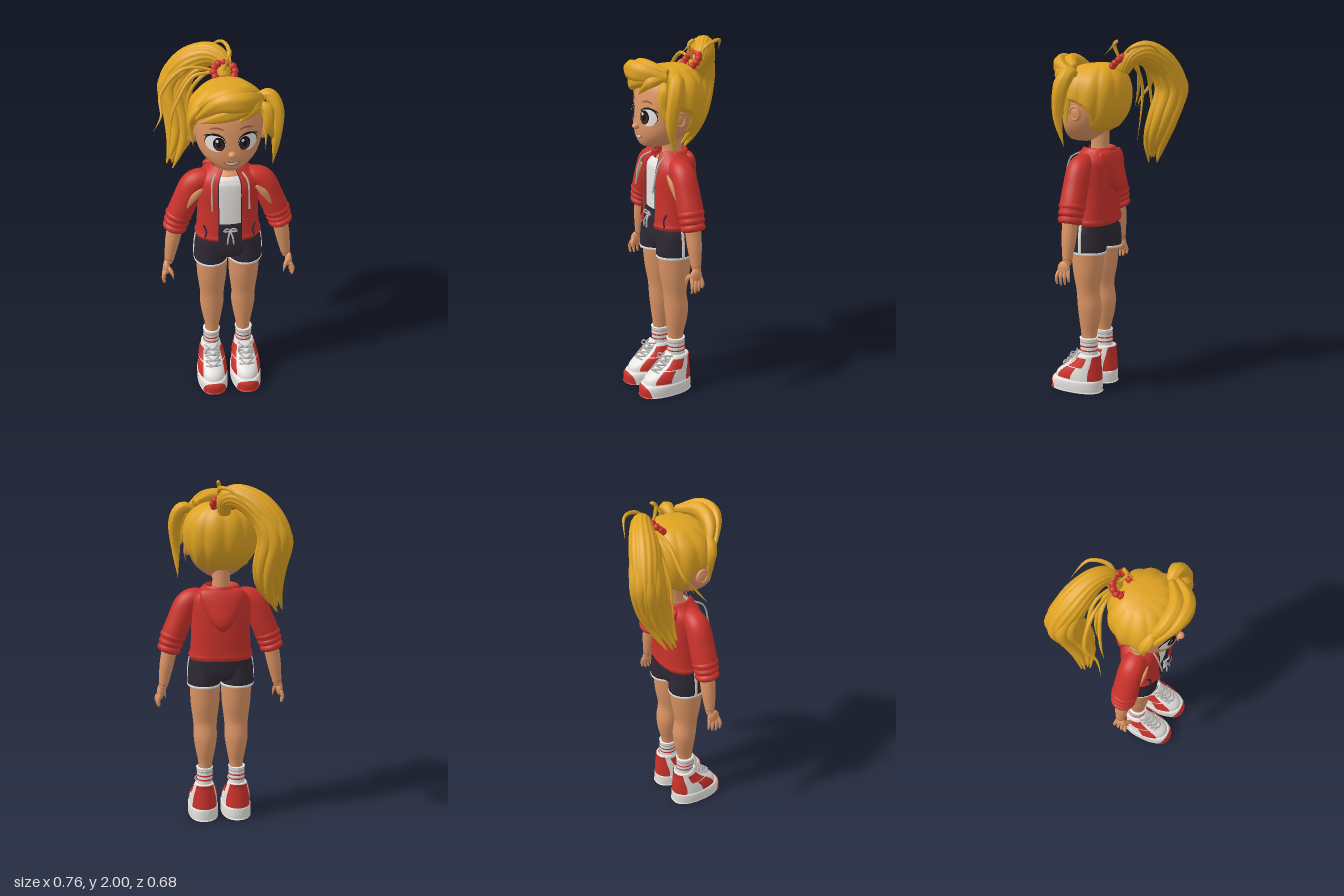
import * as THREE from 'three';
import { mergeVertices } from 'three/addons/utils/BufferGeometryUtils.js';

const colour = (name, hex, side = THREE.FrontSide) => {
  const m = new THREE.MeshStandardMaterial({ color: hex, side });
  m.name = name;
  return m;
};
const PI = Math.PI, TURN = 2 * PI, FRONT = new THREE.Vector3(0, 0, 1);
const V = (x, y, z) => new THREE.Vector3(x, y, z);
const pw = (v, p) => Math.sign(v) * Math.abs(v) ** p;

// Smooth interpolation through rows of numbers
function sample(rows, t) {
  const n = rows.length - 1, k = Math.min(Math.floor(t * n), n - 1), f = t * n - k;
  const [a, b, c, d] = [rows[Math.max(k - 1, 0)], rows[k], rows[k + 1], rows[Math.min(k + 2, n)]];
  return b.map((_, i) => b[i] + 0.5 * f * (c[i] - a[i] + f * (2 * a[i] - 5 * b[i] + 4 * c[i] - d[i] + f * (3 * (b[i] - c[i]) + d[i] - a[i]))));
}
// Grid surface from a function of u and v
function surface(f, nu, nv) {
  const pos = [], idx = [], w = nu + 1;
  for (let j = 0; j <= nv; j++) for (let i = 0; i <= nu; i++) pos.push(...f(i / nu, j / nv));
  for (let j = 0; j < nv; j++) for (let i = 0; i < nu; i++) {
    const a = j * w + i;
    idx.push(a, a + 1, a + w + 1, a, a + w + 1, a + w);
  }
  let g = new THREE.BufferGeometry();
  g.setAttribute('position', new THREE.Float32BufferAttribute(pos, 3));
  g.setIndex(idx);
  g = mergeVertices(g, 1e-5);
  g.computeVertexNormals();
  return g;
}
// Horizontal sections [y, z centre, rx, rz]; angle 0 is the front; an arch narrows to a round top
function loft(rows, { cx = 0, p = 1, a = [0, TURN], t = [0, 1], off = 0, arch = false, nu = 36, nv = 24 } = {}) {
  return surface((u, v) => {
    const [y, cz, rx, rz] = sample(rows, t[0] + (t[1] - t[0]) * v);
    const q = (a[0] + (a[1] - a[0]) * u) * (arch ? Math.sqrt(1 - v * v) : 1);
    return [cx + (Math.max(rx, 0) + off) * pw(Math.sin(q), p), y, cz + (Math.max(rz, 0) + off) * pw(Math.cos(q), p)];
  }, nu, nv);
}
// Closed sweep along [x, y, z, ra, rb], optionally ribbed
function strand(rows, ref = FRONT, { nu = 14, nv = 24, lobes = 0, amp = 0 } = {}) {
  return surface((u, v) => {
    const j = Math.round(v * (nv + 2)) - 1, t = Math.min(Math.max(j / nv, 0), 1), e = 0.01;
    const [x, y, z, ra, rb] = sample(rows, t);
    const T = V(...sample(rows, Math.min(t + e, 1))).sub(V(...sample(rows, Math.max(t - e, 0)))).normalize();
    const S = T.clone().cross(ref).normalize(), N = T.clone().cross(S);
    const q = u * TURN, k = j < 0 || j > nv ? 0 : 1 + amp * Math.cos(lobes * q);
    return V(x, y, z).addScaledVector(S, Math.max(ra, 0.001) * k * Math.cos(q))
      .addScaledVector(N, Math.max(rb, 0.001) * k * Math.sin(q)).toArray();
  }, nu, nv + 2);
}
// Points swelling to half-widths w and d, then tapering to a tip
const taper = (w, d, pts) => pts.map((p, i) => {
  const k = Math.sin(PI * (0.15 + 0.85 * i / (pts.length - 1)));
  return [...p, w * k, d * k];
});
const HEAD = [[1.432, .17, 0, 0], [1.445, .163, .065, .083], [1.51, .138, .142, .134], [1.6, .105, .178, .168], [1.7, .09, .187, .173],
  [1.78, .085, .165, .155], [1.835, .075, .108, .107], [1.853, .065, .06, .062], [1.859, .055, 0, 0]];
const HP = 0.94;
function headAt(y) {
  let lo = 0, hi = 1;
  for (let i = 0; i < 24; i++) { const m = (lo + hi) / 2; if (sample(HEAD, m)[0] < y) lo = m; else hi = m; }
  return sample(HEAD, lo);
}
const faceZ = (x, y) => {
  const [, cz, rx, rz] = headAt(y), q = Math.asin(Math.min(1, Math.abs(x) / rx) ** (1 / HP));
  return cz + rz * Math.cos(q) ** HP;
};
// Thin elliptical plate following the face
function decal(cx, cy, rx, ry, off, bend = 0) {
  const g = new THREE.RingGeometry(0, 1, 28, 5), P = g.attributes.position;
  for (let i = 0; i < P.count; i++) {
    const u = P.getX(i), x = cx + u * rx, y = cy + P.getY(i) * ry + bend * u * u;
    P.setXYZ(i, x, y, faceZ(x, y) + off);
  }
  g.computeVertexNormals();
  return g;
}
const cord = pts => new THREE.TubeGeometry(new THREE.CatmullRomCurve3(pts.map(p => V(...p))), 20, .005, 6);
const ball = (x, y, z, a, b = a, c = a) => new THREE.SphereGeometry(1, 20, 14).scale(a, b, c).translate(x, y, z);

export function createModel() {
  const skin = colour('skin', 0xdc9464), hair = colour('golden hair', 0xdfa322, THREE.DoubleSide), red = colour('red cloth', 0xcb322b, THREE.DoubleSide),
    white = colour('white', 0xe6e4e0, THREE.DoubleSide), charcoal = colour('charcoal', 0x2d2833, THREE.DoubleSide), grey = colour('grey cord', 0xb2b0ae),
    iris = colour('iris brown', 0x4a2826), black = colour('black', 0x141117), brown = colour('brow brown', 0xa4543a), lip = colour('lip red', 0x9c4238);
  const model = new THREE.Group();
  const add = (name, geo, mat) => { const m = new THREE.Mesh(geo, mat); m.name = name; model.add(m); };

  // Head, neck and face
  add('head', loft(HEAD, { p: HP, nu: 48, nv: 44 }), skin);
  add('neck', loft([[1.3, .08, .1, .08], [1.35, .08, .085, .07], [1.39, .068, .052, .053], [1.5, .07, .05, .055]]), skin);
  add('nose', ball(0, 1.556, .282, .021, .018, .022), skin);
  add('lips', decal(0, 1.497, .043, .01, .002, .011), lip);
  add('teeth', decal(0, 1.499, .037, .007, .004, .01), white);
  for (const s of [-1, 1]) {
    const ex = s * .066;
    add('eyeOutline', decal(s * .084, 1.62, .052, .05, .002), black);
    add('eyeWhite', decal(s * .084, 1.616, .05, .047, .0035), white);
    add('irisRim', decal(ex, 1.614, .03, .038, .005), black);
    add('iris', decal(ex, 1.608, .023, .029, .0062), iris);
    add('pupil', decal(ex, 1.615, .014, .02, .0074), black);
    add('eyeGlint', decal(ex - .01, 1.632, .008, .009, .0086), white);
    add('lash', decal(s * .09, 1.665, .052, .005, .006, -.018), black);
    add('brow', decal(s * .075, 1.7, .04, .005, .004, -.012), brown);
    add('ear', ball(s * .182, 1.605, .122, .018, .042, .034), skin);
    add('earRim', new THREE.TorusGeometry(.028, .006, 8, 24).rotateY(PI / 2).scale(1, 1.25, 1).translate(s * .196, 1.608, .122), skin);
  }

  // Hair cap with ribbed locks above a scalloped hairline
  const drop = THREE.MathUtils.smoothstep;
  const hairline = a => 1.78 - .13 * drop(a, .8, 1.3) - .165 * drop(a, 1.5, 2.35) + .016 * Math.abs(Math.sin(a * 6));
  add('hairCap', surface((u, v) => {
    const q = u * TURN, a = Math.min(q, TURN - q), y0 = hairline(a);
    const y = y0 + (1.8589 - y0) * Math.sin(v * PI / 2), [, cz, rx, rz] = headAt(y);
    const off = (v === 0 ? -.004 : .013 + .012 * Math.abs(Math.sin(a * 6)) * (1 - v * v)) * (1 - v ** 8);
    return [(Math.max(rx, 0) + off) * pw(Math.sin(q), HP), y + .012 * v, cz + (Math.max(rz, 0) + off) * pw(Math.cos(q), HP)];
  }, 144, 28), hair);

  // Fringe swept across the brow, and locks beside the face: width, depth, path
  const fringe = [
    [.056, .038, [[.16, 1.82, .18], [.06, 1.85, .285], [-.07, 1.84, .282], [-.2, 1.7, .18]]],
    [.042, .023, [[.14, 1.83, .22], [.06, 1.82, .288], [-.05, 1.775, .282], [-.17, 1.71, .215]]],
    [.042, .04, [[.13, 1.85, .16], [.02, 1.872, .235], [-.11, 1.835, .22], [-.2, 1.7, .14]]],
    [.042, .024, [[.16, 1.84, .18], [.11, 1.815, .26], [.03, 1.73, .285]]],
  ];
  const sideLocks = [
    [.036, .042, [[.13, 1.8, .15], [.205, 1.825, .15], [.246, 1.74, .18], [.24, 1.58, .2], [.232, 1.43, .17]]],
    [.03, .03, [[.14, 1.8, .19], [.19, 1.77, .215], [.2, 1.67, .222], [.25, 1.56, .19]]],
    [.022, .03, [[-.13, 1.82, .2], [-.185, 1.75, .18], [-.2, 1.68, .165], [-.19, 1.56, .17]]],
    [.014, .03, [[.15, 1.79, .2], [.187, 1.7, .177], [.19, 1.52, .18]]],
  ];
  for (const [w, d, pts] of [...fringe, ...sideLocks]) add('frontLock', strand(taper(w, d, pts), V(0, .05, 1), { lobes: 6, amp: .05, nu: 24 }), hair);

  // Ponytail with overlapping locks that end raggedly
  const tail = [[0, 1.83, -.075, .035, .035], [-.005, 1.905, -.125, .05, .045], [-.075, 1.922, -.175, .066, .06], [-.18, 1.855, -.22, .08, .08],
    [-.248, 1.72, -.25, .09, .075], [-.228, 1.56, -.21, .08, .078], [-.235, 1.44, -.165, .055, .058], [-.285, 1.32, -.125, .004, .006]];
  const across = V(.6, 0, -.8);
  add('ponytail', strand(tail, across, { nu: 96, nv: 48, lobes: 16, amp: .025 }), hair);
  for (let i = 0; i < 9; i++) {
    const c = Math.cos(i / 9 * TURN), d = Math.sin(i / 9 * TURN);
    const path = tail.slice(3).map(([x, y, z, r], k) => [x + c * (r * .6 + k * .006), y + k * .008 * Math.sin(i * 2.4), z + d * (r * .6 + k * .006), r * .38 + .002, r * .36 + .002]);
    add('tailLock', strand(path, across, { nu: 28 }), hair);
  }

  // Loose wisps from the tie
  const wisps = [
    [[.035, 1.95, -.13], [0, 1.97, -.23], [-.09, 1.9, -.28]],
    [[.02, 1.96, -.03], [.03, 1.985, -.05], [.02, 1.91, .03]],
    [[-.2, 1.88, -.1], [-.33, 1.75, -.09], [-.34, 1.65, -.02], [-.385, 1.585, .025]],
    [[-.16, 1.84, -.08], [-.26, 1.7, -.04], [-.3, 1.6, 0]],
    [[-.1, 1.84, -.1], [-.19, 1.7, -.1], [-.19, 1.42, -.07]],
    [[-.14, 1.85, -.13], [-.25, 1.7, -.12], [-.3, 1.4, -.12]],
  ];
  for (const w of wisps) add('hairWisp', strand(taper(.011, .011, [[0, 1.86, -.07], ...w]), V(.3, .2, .9), { nu: 8 }), hair);

  // Beaded hair tie
  for (let i = 0; i < 12; i++) {
    const c = .057 * Math.cos(i / 12 * TURN), s = .054 * Math.sin(i / 12 * TURN);
    add('tieBead', ball(c, 1.872 + s * .7, -.052 - s * .7, .02), red);
  }

  // Shirt, open jacket, collar and hood
  add('shirt', loft([[1.04, .09, .14, .105], [1.28, .09, .14, .103], [1.335, .088, .12, .094], [1.36, .085, .085, .078]], { p: .85 }), white);
  const coat = [[.98, .095, .17, .113], [1, .097, .178, .121], [1.03, .095, .172, .118], [1.15, .09, .166, .117], [1.28, .09, .17, .115],
    [1.34, .085, .16, .105], [1.378, .08, .12, .09], [1.405, .075, .09, .08]];
  const open = { p: .85, a: [.3, TURN - .3], nu: 60, nv: 36 };
  add('jacket', loft(coat, open), red);
  add('jacketHem', loft(coat, { ...open, t: [.02, .26], off: .004 }), red);
  add('collar', loft([[1.35, .075, .105, .09], [1.375, .075, .115, .098], [1.408, .071, .09, .083], [1.37, .07, .07, .065]], { a: [.6, TURN - .6] }), red);
  add('hood', loft([[1.15, -.03, 0, 0], [1.175, -.035, .03, .028], [1.22, -.025, .07, .05], [1.29, -.01, .105, .05], [1.35, 0, .125, .042], [1.39, .01, .11, .03], [1.4, .01, 0, 0]]), red);

  // Shorts body
  add('shorts', loft([[.845, .1, .05, .05], [.87, .1, .165, .095], [.91, .1, .186, .109], [.97, .098, .178, .11], [1.085, .09, .145, .109]], { p: .92 }), charcoal);

  const sole = [[0, .168, 0, 0], [.002, .168, .08, .145], [.012, .168, .086, .153], [.05, .168, .088, .154], [.072, .163, .084, .147], [.076, .16, .07, .135]];
  const upper = [[.06, .16, .082, .144], [.1, .156, .081, .137], [.135, .138, .076, .116], [.17, .11, .068, .085], [.2, .095, .06, .068], [.222, .085, .054, .06], [.226, .085, .044, .05]];
  const leg = [[.26, .095, .037, .042], [.34, .095, .04, .046], [.42, .09, .055, .06], [.5, .09, .067, .068], [.56, .096, .067, .066], [.61, .1, .07, .066], [.72, .1, .083, .086], [.87, .1, .088, .099]];
  for (const s of [-1, 1]) {
    const arc = (a, b) => (s > 0 ? [a, b] : [-b, -a]), flip = rows => rows.map(([x, ...r]) => [s * x, ...r]);
    const limb = rows => strand(rows.map(([x, y, r]) => [s * x, y, .1, r, r]), FRONT, { nu: 28 });
    add('zip', loft(coat, { p: .85, a: arc(.29, .32), off: .003, nu: 2 }), charcoal);
    add('drawstring', cord(flip([[.07, 1.38, .15], [.095, 1.35, .2], [.1, 1.2, .24]])), grey);
    add('pocketSeam', cord(flip([[.14, 1.075, .178], [.127, 1.04, .187], [.135, 1, .188]])), charcoal);
    add('waistBow', cord(flip([[0, 1.05, .205], [.02, 1.07, .222], [.036, 1.055, .222], [0, 1.045, .21]])), grey);
    add('waistCord', cord(flip([[0, 1.05, .21], [.012, 1.02, .23], [.017, .98, .235]])), grey);

    // Sleeve with rolled cuff and shoulder opening
    add('sleeve', limb([[.09, 1.325, .05], [.15, 1.322, .061], [.195, 1.29, .067], [.232, 1.2, .07], [.265, 1.12, .07], [.285, 1.07, .063]]), red);
    for (let i = 0; i < 3; i++)
      add('cuffRoll', new THREE.TorusGeometry(.053 - i * .003, .021, 10, 30).rotateX(PI / 2).rotateZ(s * .3).translate(s * (.27 + i * .011), 1.11 - i * .036, .1), red);
    add('shoulderSlash', strand(taper(.02, .009, flip([[.145, 1.3, .174], [.19, 1.252, .173], [.235, 1.17, .167]]))), skin);

    // Arm, hand and fingers
    add('arm', limb([[.28, 1.09, .045], [.295, 1.01, .043], [.31, .93, .039], [.327, .83, .027], [.335, .8, .022]]), skin);
    add('wrist', limb([[.327, .828, .028], [.328, .825, .028]]), brown);
    add('palm', ball(s * .345, .778, .112, .019, .045, .037), skin);
    for (let i = 0; i < 4; i++) {
      const z = .083 + i * .019, fan = z + (i - 1.5) * .004, x = .358 + i * .003;
      add('finger', strand(flip([[.348, .77, z, .01, .01], [x, .735, fan, .0095, .0095], [x - .006, .69 + .005 * (i - 2) ** 2, fan, .006, .006]]), FRONT, { nu: 10, nv: 8 }), skin);
    }
    add('thumb', strand(taper(.012, .012, flip([[.345, .8, .125], [.322, .768, .15], [.31, .72, .156]])), FRONT, { nu: 10, nv: 8 }), skin);

    // Shorts leg, hem and side stripe
    const hip = { cx: s * .096 };
    add('shortsLeg', loft([[.825, .1, .092, .107], [.86, .1, .094, .109], [.95, .1, .085, .102]], hip), charcoal);
    add('shortsHem', loft([[.817, .1, .086, .1], [.82, .1, .094, .109], [.831, .1, .095, .11], [.834, .1, .09, .104]], hip), white);
    add('sideStripe', strand([.189, .19, .186, .176].map((x, i) => [s * x, .83 + i * .056, .1, .003, .009])), white);

    // Leg and striped sock
    add('leg', loft(leg, { cx: s * .09 }), skin);
    const ankle = { cx: s * .094, nv: 12 };
    add('sock', loft([[.16, .092, .046, .051], [.3, .095, .046, .051], [.318, .095, .05, .054], [.322, .095, .038, .042]], ankle), white);
    [.245, .27, .294].forEach((y, i) => add('sockStripe', loft([[y, .094, .048, .053], [y + .008, .094, .048, .053]], ankle), i < 2 ? red : grey));

    // Shoe: sole, upper and coloured panels
    const x = s * .098, soft = { cx: x, p: .92 }, panel = { ...soft, off: .004, nu: 16 };
    add('sole', loft(sole, { cx: x, p: .85 }), white);
    add('shoeUpper', loft(upper, soft), white);
    add('toeCap', loft(sole, { cx: x, p: .85, t: [.3, .8], a: [-.78, .78], off: .004, arch: true }), red);
    add('heelPanel', loft(upper, { ...panel, t: [.08, .82], a: [2.2, TURN - 2.2] }), red);
    for (const k of [-1, 1]) {
      const sides = (a, b) => (k > 0 ? [a, b] : [-b, -a]);
      add('sidePanel', loft(upper, { ...panel, t: [.1, .4], a: sides(.8, 1.5) }), red);
      add('collarPanel', loft(upper, { ...panel, t: [.42, .72], a: sides(.8, 1.75) }), red);
      add('laceLoop', cord([[x, .21, .165], [x + k * .03, .228, .185], [x + k * .045, .205, .19], [x + k * .015, .2, .178]]), grey);
      // Crossed laces
      for (let i = 0; i < 4; i++) {
        const y = .14 + i * .022, z = .25 - i * .024;
        add('lace', cord([[x - k * .042, y, z - .02], [x, y + .014, z + .003], [x + k * .042, y + .02, z - .04]]), grey);
      }
    }
    add('tongue', strand([[x, .13, .235, .036, .012], [x, .18, .18, .036, .014], [x, .235, .14, .034, .01]], V(0, .7, .7)), white);
  }
  return model;
}
